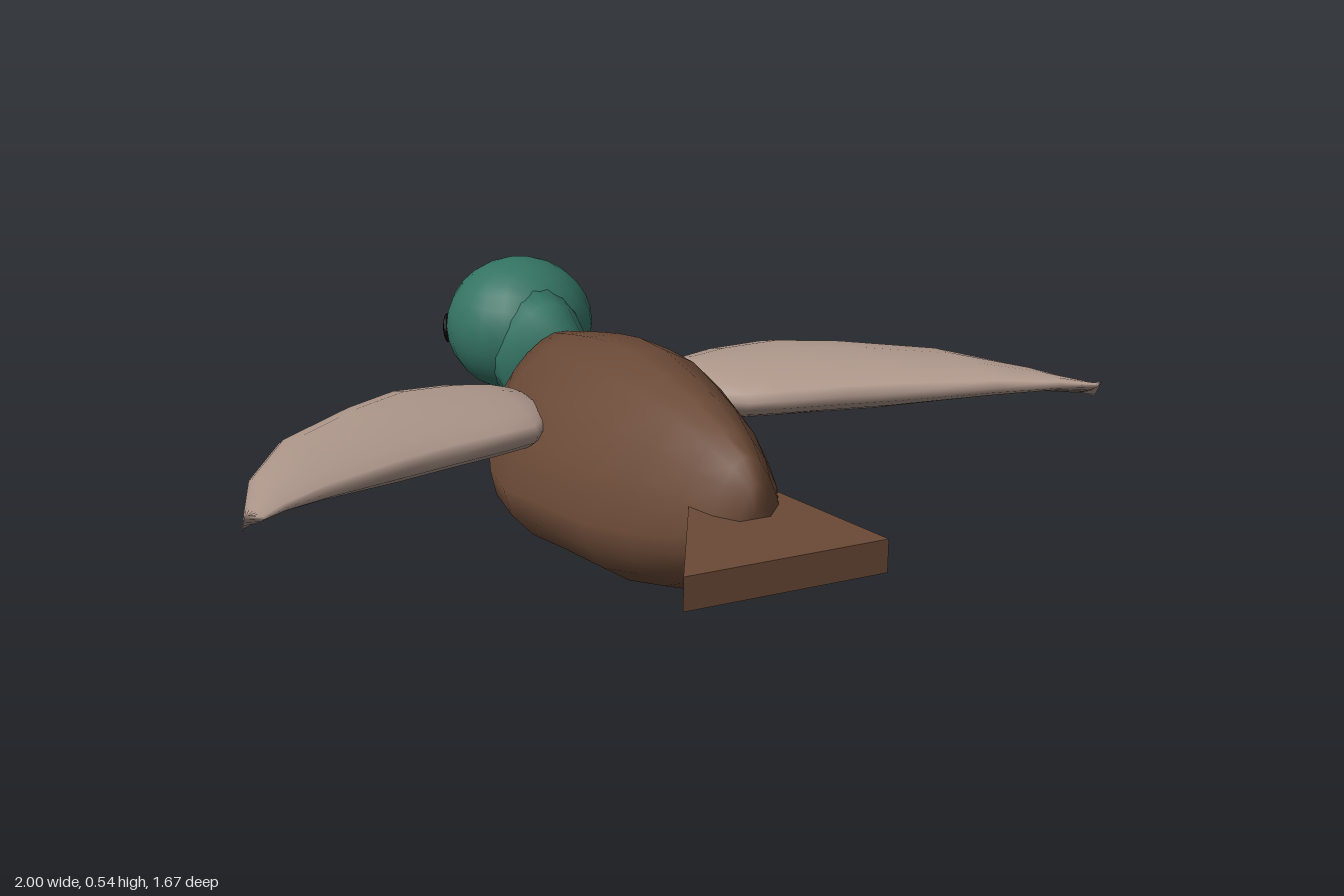
import * as THREE from 'three';

const mat = (name, color) => {
  const m = new THREE.MeshStandardMaterial({ color });
  m.name = name;
  return m;
};

// Skin a row of closed rings and close both ends
function loft(rings) {
  const n = rings[0].length, pos = [], idx = [];
  for (const ring of rings) for (const p of ring) pos.push(...p);
  const last = (rings.length - 1) * n;
  for (let i = 0; i < rings.length - 1; i++) {
    for (let j = 0; j < n; j++) {
      const a = i * n + j, b = i * n + (j + 1) % n;
      idx.push(a, b, a + n, b, b + n, a + n);
    }
  }
  const centre = ring => [0, 1, 2].map(k => ring.reduce((s, p) => s + p[k], 0) / n);
  const c0 = pos.length / 3;
  pos.push(...centre(rings[0]), ...centre(rings[rings.length - 1]));
  for (let j = 0; j < n; j++) {
    const k = (j + 1) % n;
    idx.push(c0, k, j, c0 + 1, last + j, last + k);
  }
  const g = new THREE.BufferGeometry();
  g.setAttribute('position', new THREE.Float32BufferAttribute(pos, 3));
  g.setIndex(idx);
  g.computeVertexNormals();
  return g;
}

const angles = n => Array.from({ length: n }, (_, j) => (j / n) * Math.PI * 2);

// Egg-shaped ring across z: widest below the middle, leaning by slant
function eggRing(z, top, bottom, halfWidth, { x = 0, waist = 0.4, pinch = 0.25, slant = 0, n = 18 } = {}) {
  const wide = bottom + (top - bottom) * waist, mid = (top + bottom) / 2;
  return angles(n).map(a => {
    const s = Math.sin(a);
    const y = wide + s * (s > 0 ? top - wide : wide - bottom);
    return [x + halfWidth * Math.cos(a) * (1 - pinch * Math.max(s, 0)), y, z + slant * (y - mid)];
  });
}

export function createModel() {
  const duck = new THREE.Group();
  duck.name = 'flyingDuck';
  const brown = mat('brown', 0x6a4936);
  const green = mat('green', 0x347363);
  const taupe = mat('taupe', 0xae978b);
  const yellow = mat('yellow', 0xd6ad10);
  const black = mat('black', 0x0a0a0a);
  const add = (name, geometry, material) => {
    const m = new THREE.Mesh(geometry, material);
    m.name = name;
    duck.add(m);
    return m;
  };

  // Body: z, top, bottom, half width, slant
  const body = [
    [-0.32, 0.43, 0.205, 0.115, 0.49],
    [-0.2, 0.458, 0.08, 0.21, 0.25],
    [-0.05, 0.485, 0.015, 0.27, 0.1],
    [0.07, 0.5, 0.008, 0.292, 0],
    [0.2, 0.505, 0.018, 0.27, 0],
    [0.33, 0.49, 0.015, 0.228, 0],
    [0.45, 0.468, 0.045, 0.185, 0],
    [0.56, 0.43, 0.095, 0.13, 0],
    [0.63, 0.395, 0.15, 0.085, 0],
    [0.67, 0.35, 0.23, 0.035, 0],
  ];
  add('body', loft(body.map(([z, t, b, w, slant]) => eggRing(z, t, b, w, { x: -0.012, waist: 0.37, slant }))), brown);

  // Neck and head
  add('neck', loft([
    eggRing(-0.48, 0.51, 0.225, 0.13, { waist: 0.5, pinch: 0.1, slant: 0.3 }),
    eggRing(-0.4, 0.475, 0.205, 0.117, { waist: 0.5, pinch: 0.15, slant: 0.38 }),
    eggRing(-0.32, 0.435, 0.2, 0.117, { waist: 0.37, slant: 0.49 }),
  ]), green);
  const head = add('head', new THREE.SphereGeometry(1, 20, 14), green);
  head.scale.set(0.18, 0.165, 0.177);
  head.position.set(0, 0.382, -0.53);

  // Bill: z, top, bottom, half width
  add('bill', loft([
    [-0.84, 0.298, 0.28, 0.02],
    [-0.82, 0.308, 0.27, 0.042],
    [-0.77, 0.322, 0.252, 0.065],
    [-0.7, 0.348, 0.235, 0.086],
    [-0.63, 0.37, 0.23, 0.095],
  ].map(([z, t, b, w]) => eggRing(z, t, b, w, { n: 14 }))), yellow);

  // Wings: x, leading z, trailing z, mid height, half thickness
  const wing = [
    [0.18, -0.13, 0.04, 0.31, 0.04],
    [0.21, -0.185, 0.1, 0.312, 0.058],
    [0.26, -0.225, 0.16, 0.314, 0.068],
    [0.34, -0.24, 0.19, 0.317, 0.074],
    [0.47, -0.225, 0.232, 0.322, 0.078],
    [0.6, -0.15, 0.278, 0.326, 0.073],
    [0.79, -0.01, 0.367, 0.338, 0.052],
    [0.91, 0.18, 0.44, 0.347, 0.028],
    [0.97, 0.35, 0.49, 0.352, 0.014],
    [1.0, 0.44, 0.465, 0.353, 0.004],
  ];
  for (const side of [1, -1]) {
    const rings = wing.map(([x, lead, trail, y, h]) => angles(16).map(a => [
      side * x,
      // trailing edge sits a little higher than the leading edge
      y + h * Math.cos(a) * (1 - 0.3 * Math.sin(a)) + 0.02 * Math.sin(a),
      (lead + trail) / 2 + (trail - lead) / 2 * Math.sin(a),
    ]));
    if (side < 0) rings.reverse();
    add(side > 0 ? 'leftWing' : 'rightWing', loft(rings), taupe);

    // Eye: a thin disc lying against the head
    const eye = add(side > 0 ? 'leftEye' : 'rightEye', new THREE.SphereGeometry(1, 14, 8), black);
    eye.scale.set(0.038, 0.036, 0.009);
    eye.position.set(side * 0.154, 0.367, -0.621);
    eye.lookAt(side * 1.0, 0.3, -1.14);
  }

  // Tail: a flat slab fanning out and drooping backwards
  const tail = new THREE.BoxGeometry(1, 0.072, 0.26);
  const p = tail.attributes.position;
  for (let i = 0; i < p.count; i++) {
    const back = p.getZ(i) > 0;
    p.setXYZ(i, p.getX(i) * (back ? 0.46 : 0.2) - (back ? 0.03 : 0.012),
      p.getY(i) + (back ? 0.216 : 0.252), p.getZ(i) + 0.702);
  }
  tail.computeVertexNormals();
  add('tail', tail, brown);

  return duck;
}
